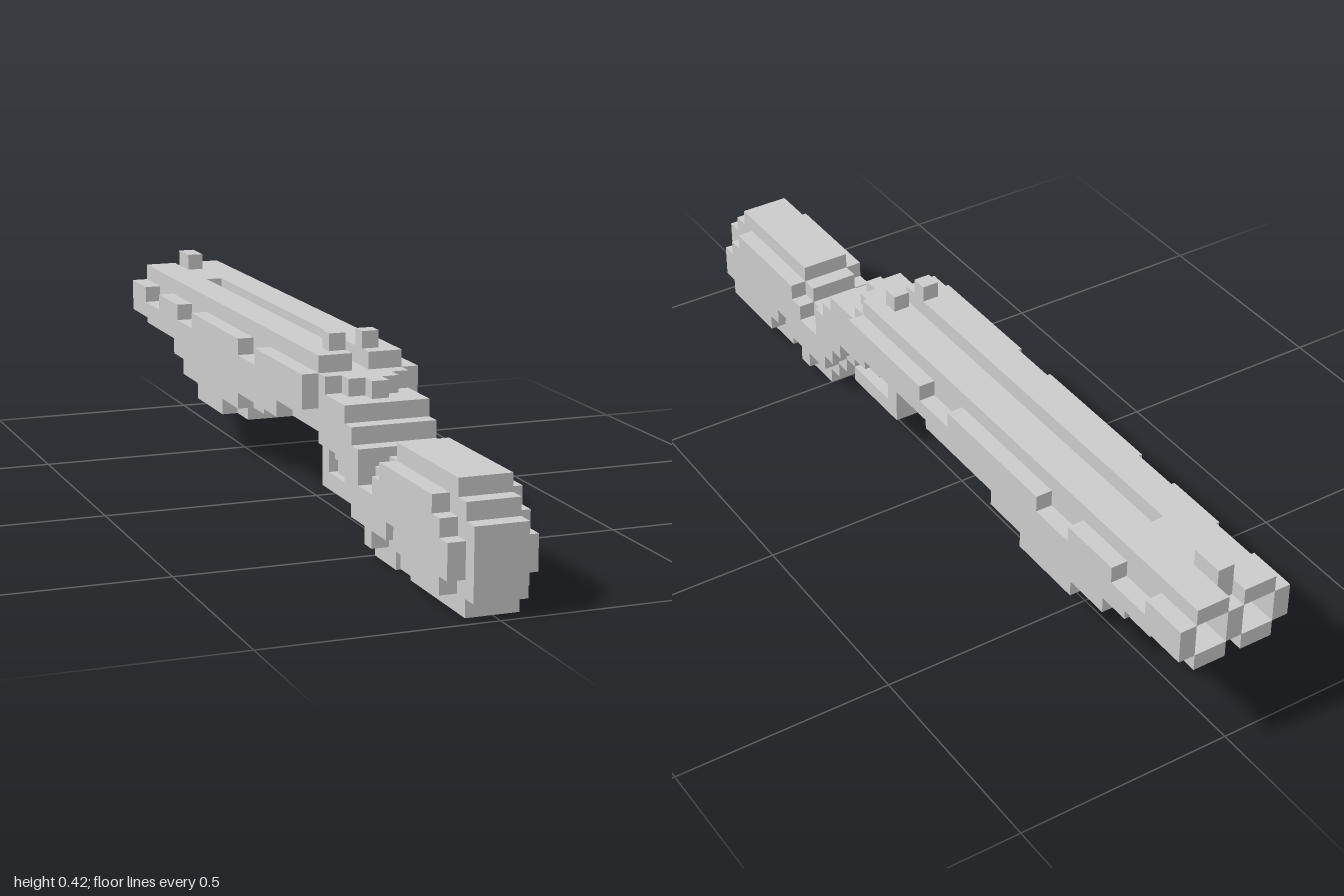
import * as THREE from 'three';

const U = 2 / 52; // edge of one grid cell
const material = new THREE.MeshStandardMaterial({ color: 0xcccccc, flatShading: true });

export function createModel() {
  const model = new THREE.Group();

  // Stepped side profile between x0 and x1 (cells).
  // Each column is [start, end, bottom, top]; columns count from the front end backwards.
  function slab(name, x0, x1, columns) {
    const raw = [];
    for (const [a, b, lo] of columns) raw.push([a, lo], [b, lo]);
    for (const [a, b, , hi] of [...columns].reverse()) raw.push([b, hi], [a, hi]);
    const points = raw.filter((p, i) => i === 0 || p[0] !== raw[i - 1][0] || p[1] !== raw[i - 1][1]);
    const shape = new THREE.Shape(points.map(([c, r]) => new THREE.Vector2(c, r)));
    const geometry = new THREE.ExtrudeGeometry(shape, { depth: x1 - x0, bevelEnabled: false });
    geometry.rotateY(Math.PI / 2);
    geometry.translate(x0, 0, 26);
    geometry.scale(U, U, U);
    const mesh = new THREE.Mesh(geometry, material);
    mesh.name = name;
    model.add(mesh);
  }
  const middle = (name, half, columns) => slab(name, -half, half, columns);
  function pair(name, x0, x1, columns) {
    slab(name + 'Left', x0, x1, columns);
    slab(name + 'Right', -x1, -x0, columns);
  }

  // Stock and wrist
  middle('stock', 1.5, [
    [0, 1, 1, 5], [1, 2, 0, 6], [2, 8, 0, 7], [8, 10, 1, 7], [10, 11, 0, 6],
    [11, 13, 0, 5], [13, 14, 1, 6], [14, 15, 2, 7], [15, 16, 3, 8], [16, 19, 4, 8],
  ]);
  pair('stockCheek', 1.5, 2.5, [
    [1, 2, 2, 4], [2, 3, 1, 5], [3, 7, 1, 6], [7, 8, 2, 6], [8, 9, 3, 6], [9, 10, 2, 6],
    [10, 11, 2, 5], [11, 12, 1, 4], [12, 13, 2, 4], [13, 14, 2, 6], [14, 15, 3, 7],
    [15, 16, 4, 8], [16, 19, 5, 8],
  ]);

  // Wedge on top of the wrist
  middle('wedgeMiddle', 0.5, [[16, 19, 8, 9]]);
  pair('wedgeInner', 0.5, 1.5, [[17, 19, 8, 9]]);
  pair('wedgeOuter', 1.5, 2.5, [[18, 19, 8, 9]]);

  // Trigger and guard
  middle('trigger', 0.5, [[18, 19, 3, 4]]);
  middle('triggerGuard', 1.5, [[16, 20, 2, 3], [20, 21, 2, 5]]);

  // Rib between the barrels, with the sunken groove on top
  middle('barrelRib', 0.5, [[19, 45, 6, 9], [45, 48, 6, 10], [48, 51, 7, 10], [51, 52, 7, 9]]);

  // Twin barrels with open muzzles
  pair('barrel', 0.5, 2.5, [[19, 50, 6, 10]]);
  pair('muzzleTop', 0.5, 2.5, [[50, 52, 9, 10]]);
  pair('muzzleBottom', 0.5, 2.5, [[50, 52, 6, 7]]);
  pair('barrelSide', 2.5, 3.5, [
    [19, 27, 7, 9], [27, 30, 7, 8], [30, 39, 7, 9], [39, 42, 7, 8],
    [42, 46, 7, 9], [46, 49, 7, 8], [49, 52, 7, 9],
  ]);

  // Fore-end below the barrels
  middle('foreEnd', 1.5, [
    [19, 31, 5, 6], [31, 34, 4, 6], [34, 43, 3, 6], [43, 47, 4, 6], [47, 48, 5, 6],
  ]);
  pair('foreEndCheek', 1.5, 2.5, [
    [26, 33, 5, 6], [33, 36, 4, 6], [36, 41, 3, 6], [41, 44, 4, 6], [44, 46, 5, 6],
  ]);

  // Sights
  pair('rearSight', 0.5, 1.5, [[20, 21, 10, 11]]);
  middle('frontSight', 0.5, [[49, 51, 10, 11]]);

  return model;
}
